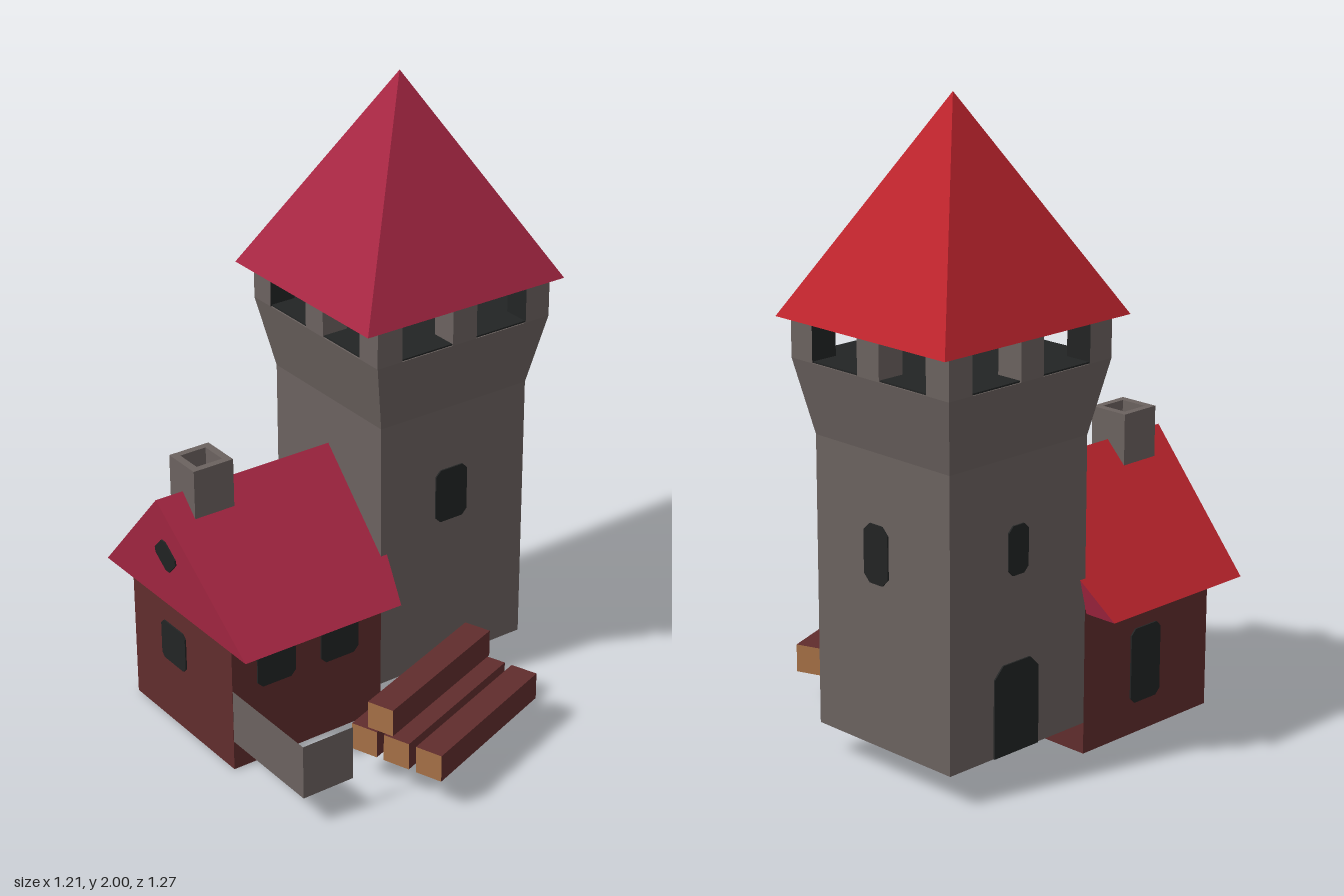
import * as THREE from 'three';

const mat = (name, color, side = THREE.FrontSide) => {
  const m = new THREE.MeshStandardMaterial({ color, side });
  m.name = name;
  return m;
};

export function createModel() {
  const root = new THREE.Group();
  const stone = mat('stone', 0x6b625f, THREE.DoubleSide);
  const timber = mat('dark timber', 0x602d2d);
  const cutWood = mat('cut wood', 0xa87247);
  const crimson = mat('crimson roof', 0xa82743);
  const red = mat('red roof', 0xbe242d);
  const dark = mat('dark opening', 0x222424);

  const add = (name, geo, material, x = 0, y = 0, z = 0, parent = root) => {
    const m = new THREE.Mesh(geo, material);
    m.name = name;
    m.position.set(x, y, z);
    parent.add(m);
    return m;
  };
  // Box given by its extents
  const block = (name, material, x0, x1, y0, y1, z0, z1) =>
    add(name, new THREE.BoxGeometry(x1 - x0, y1 - y0, z1 - z0), material,
      (x0 + x1) / 2, (y0 + y1) / 2, (z0 + z1) / 2);
  // Flat convex faces, corners counter-clockwise from outside
  const faces = (name, material, polys) => {
    const pos = [];
    for (const p of polys)
      for (let i = 1; i < p.length - 1; i++) pos.push(...p[0], ...p[i], ...p[i + 1]);
    const g = new THREE.BufferGeometry();
    g.setAttribute('position', new THREE.Float32BufferAttribute(pos, 3));
    g.computeVertexNormals();
    return add(name, g, material);
  };
  // Thin plate with cut corners, facing +z before turning
  const plate = (name, w, h, cut, x, y, z, turn = 0, footCut = cut) => {
    const a = w / 2, b = h / 2, f = footCut;
    const pts = [[-a + f, -b], [a - f, -b], [a, -b + f], [a, b - cut],
      [a - cut, b], [-a + cut, b], [-a, b - cut], [-a, -b + f]];
    const shape = new THREE.Shape(pts.map(p => new THREE.Vector2(...p)));
    const g = new THREE.ExtrudeGeometry(shape, { depth: 0.005, bevelEnabled: false });
    const m = add(name, g, dark, x, y, z);
    m.rotation.y = turn;
    return m;
  };

  // Shared wall lines
  const L = -0.495, R = 0.06, cx = -0.2175, front = 0.005, back = -0.55;
  const tz = (front + back) / 2;

  // Tower shaft and flared top
  block('towerShaft', stone, L, R, 0.1, 1.0, back, front);
  const flare = new THREE.BoxGeometry(R - L, 0.23, front - back);
  const fp = flare.attributes.position;
  for (let i = 0; i < fp.count; i++)
    if (fp.getY(i) > 0) {
      fp.setX(i, Math.sign(fp.getX(i)) * 0.324);
      fp.setZ(i, Math.sign(fp.getZ(i)) * 0.325);
    }
  flare.computeVertexNormals();
  add('towerFlare', flare, stone, cx, 1.115, tz);
  add('towerFloor', new THREE.BoxGeometry(0.64, 0.005, 0.64), dark, cx, 1.2325, tz);

  // Ring of battlement posts, dark on the inner faces
  for (let i = -1; i <= 1; i++)
    for (let k = -1; k <= 1; k++) {
      if (!i && !k) continue;
      const mats = [i < 0, i > 0, false, false, k < 0, k > 0].map(d => (d ? dark : stone));
      add('battlementPost', new THREE.BoxGeometry(0.09, 0.125, 0.09), mats,
        cx + i * 0.279, 1.2925, tz + k * 0.28);
    }

  // Pyramid roof in two reds
  const ry = 1.355, rx0 = -0.565, rx1 = 0.13, rz0 = -0.635, rz1 = 0.105;
  const top = [cx, 2, -0.265];
  const a = [rx0, ry, rz1], b = [rx1, ry, rz1], c = [rx1, ry, rz0], d = [rx0, ry, rz0];
  faces('towerRoofFront', crimson, [[a, b, top], [b, c, top], [d, c, b, a]]);
  faces('towerRoofBack', red, [[c, d, top], [d, a, top]]);

  // House and gabled roof with leaning gables
  block('houseWalls', timber, L, R, 0, 0.46, front, 0.56);
  const ey = 0.445, ex0 = -0.607, ex1 = 0.175, px = -0.216, py = 0.84;
  const fl = [ex0, ey, 0.585], fr = [ex1, ey, 0.585], fm = [px, py, 0.635];
  const bl = [ex0, ey, 0.012], br = [ex1, ey, 0.012], bm = [px, py, -0.09];
  faces('houseRoofRight', crimson, [[fr, br, bm, fm], [fl, fr, fm], [br, bl, bm], [bl, br, fr, fl]]);
  faces('houseRoofLeft', red, [[bl, fl, fm, bm]]);

  // Chimney with open flue
  const ring = new THREE.Shape([[-0.0675, -0.07], [0.0675, -0.07], [0.0675, 0.07], [-0.0675, 0.07]]
    .map(p => new THREE.Vector2(...p)));
  ring.holes.push(new THREE.Path([[-0.045, -0.045], [-0.045, 0.045], [0.045, 0.045], [0.045, -0.045]]
    .map(p => new THREE.Vector2(...p))));
  const chimney = add('chimney', new THREE.ExtrudeGeometry(ring, { depth: 0.165, bevelEnabled: false }),
    stone, -0.2175, 0.768, 0.47);
  chimney.rotation.x = -Math.PI / 2;
  add('chimneyFlue', new THREE.BoxGeometry(0.09, 0.005, 0.09), dark, -0.2175, 0.86, 0.47);

  // Windows and doors
  const q = Math.PI / 2;
  plate('houseFrontWindow', 0.135, 0.135, 0.014, -0.263, 0.283, 0.56);
  const gable = plate('gableWindow', 0.092, 0.092, 0.014, -0.208, 0.645, 0.611);
  gable.rotation.set(0.126, 0, Math.PI / 4);
  for (const z of [0.4, 0.165]) plate('houseSideWindow', 0.14, 0.14, 0.018, R, 0.33, z, q);
  plate('houseDoor', 0.13, 0.24, 0.018, L, 0.22, 0.275, -q);
  plate('towerRightWindow', 0.12, 0.18, 0.018, R, 0.7, -0.263, q);
  plate('towerBackWindow', 0.1, 0.18, 0.024, -0.195, 0.695, back, Math.PI);
  plate('towerLeftWindow', 0.08, 0.15, 0.018, L, 0.72, -0.28, -q);
  plate('towerDoor', 0.18, 0.28, 0.035, L, 0.24, -0.285, -q, 0);

  // Thin yard wall turning a corner
  add('yardWallFront', new THREE.PlaneGeometry(0.37, 0.18), stone, 0.245, 0.19, 0.559);
  add('yardWallSide', new THREE.PlaneGeometry(0.18, 0.18), stone, 0.43, 0.19, 0.469).rotation.y = q;

  // Stack of squared logs with pale cut ends
  const logs = new THREE.Group();
  logs.name = 'logStack';
  logs.position.set(0.356, 0, -0.024);
  logs.rotation.y = 0.349;
  root.add(logs);
  const logMats = [timber, timber, timber, timber, cutWood, cutWood];
  for (const [x, y] of [[-0.115, 0.145], [0, 0.145], [0.115, 0.145], [-0.0575, 0.242]])
    add('log', new THREE.BoxGeometry(0.09, 0.09, 0.55), logMats, x, y, 0, logs);

  return root;
}
